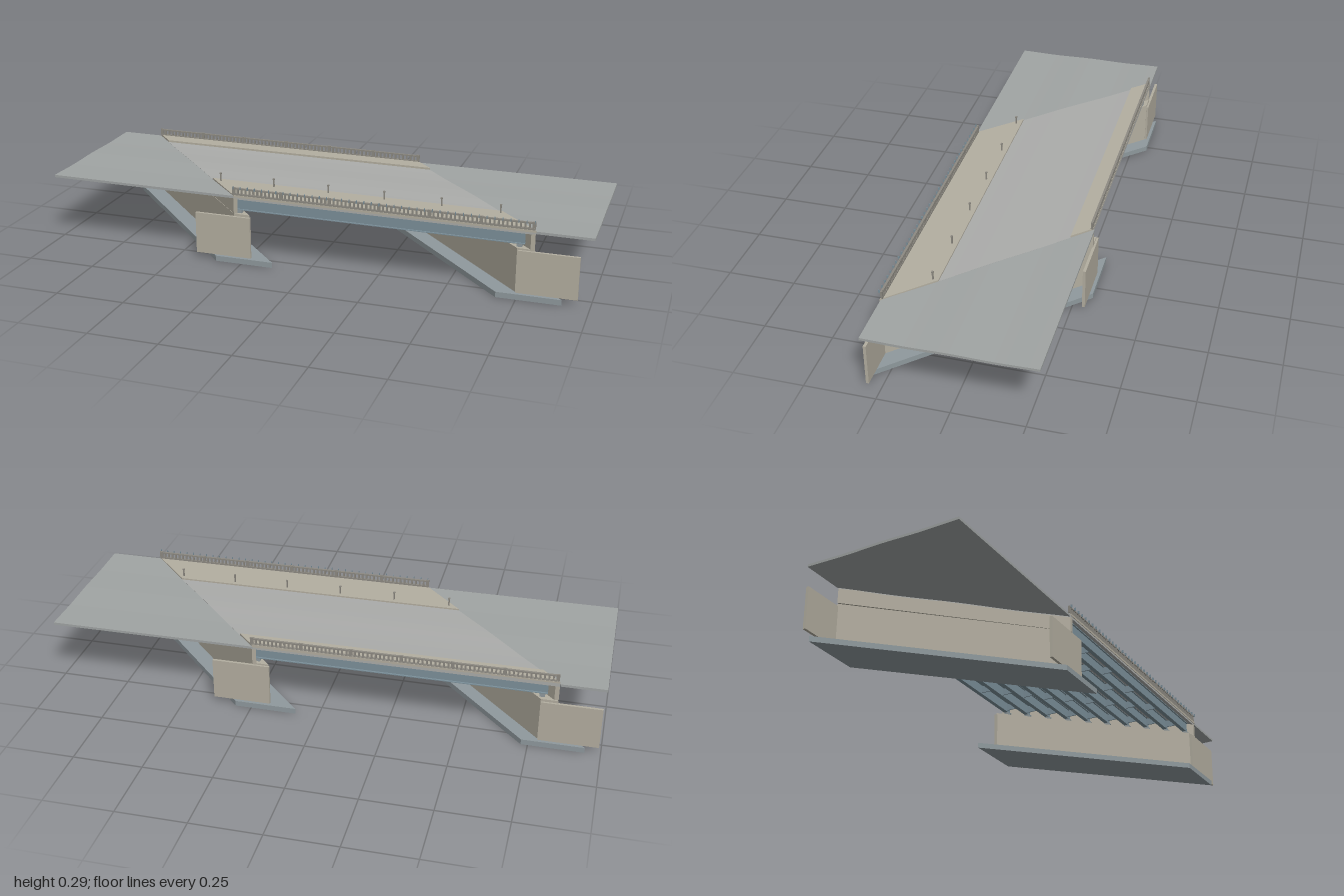
import * as THREE from 'three';
import { mergeGeometries } from 'three/addons/utils/BufferGeometryUtils.js';

const SKEW = 0.96;               // x shift per unit of z at the bridge ends
const LEFT = -0.56, RIGHT = 0.525; // bridge ends on the centre line
const mat = (color) => new THREE.MeshStandardMaterial({ color, flatShading: true, side: THREE.DoubleSide });
const concrete = mat(0xb3aea0), asphalt = mat(0xa0a4a3), deckGrey = mat(0xabacaa);
const steel = mat(0x7c909a), base = mat(0x8f999d), railGrey = mat(0x8d8a82);

// Long fall of the road and its shallow crossfall wave
const grade = (x) => -0.004 * x;
const wave = (z) => 0.0012 * Math.cos((z * Math.PI * 2) / 0.29);

// Box whose two x ends may be skewed; "road" makes it follow the road surface
function slab(x0, x1, y0, y1, z0, z1, { s0 = SKEW, s1 = SKEW, road = false, follow = false } = {}) {
  const g = new THREE.BoxGeometry(1, 1, 1, 1, 1, road ? 16 : 1);
  const p = g.attributes.position;
  for (let i = 0; i < p.count; i++) {
    const z = THREE.MathUtils.lerp(z0, z1, p.getZ(i) + 0.5);
    const x = THREE.MathUtils.lerp(x0 + s0 * z, x1 + s1 * z, p.getX(i) + 0.5);
    let y = THREE.MathUtils.lerp(y0, y1, p.getY(i) + 0.5);
    if (road || follow) y += grade(x);
    if (road) y += wave(z);
    p.setXYZ(i, x, y, z);
  }
  g.computeVertexNormals();
  return g;
}
const straight = { s0: 0, s1: 0, follow: true };
const upright = { s0: 0, s1: 0 };

export function createModel() {
  const model = new THREE.Group();
  const add = (name, material, ...geos) => {
    const mesh = new THREE.Mesh(geos.length > 1 ? mergeGeometries(geos) : geos[0], material);
    mesh.name = name;
    model.add(mesh);
  };

  // Road: two approaches and the skewed span between them
  const surf = { road: true };
  add('leftApproach', asphalt, slab(-1, LEFT, 0.239, 0.248, -0.295, 0.29, { ...surf, s0: 0 }));
  add('rightApproach', asphalt, slab(RIGHT, 1, 0.239, 0.248, -0.295, 0.29, { ...surf, s1: 0 }));
  add('bridgeDeck', deckGrey, slab(LEFT, RIGHT, 0.236, 0.2485, -0.292, 0.29, surf));

  // Raised walkway in front, narrow curb behind
  add('walkway', concrete, slab(LEFT, RIGHT, 0.245, 0.253, 0.14, 0.292, { follow: true }));
  add('curb', concrete, slab(LEFT, RIGHT, 0.245, 0.256, -0.292, -0.225, { follow: true }));

  // Parapet railings: sill, cap, balusters and thicker posts
  for (const [name, z] of [['frontRailing', 0.287], ['backRailing', -0.287]]) {
    const a = LEFT + SKEW * z, b = RIGHT + SKEW * z, parts = [];
    parts.push(slab(a, b, 0.253, 0.259, z - 0.004, z + 0.004, straight));
    parts.push(slab(a, b, 0.275, 0.28, z - 0.004, z + 0.004, straight));
    const n = 72;
    for (let i = 0; i <= n; i++) {
      const x = a + 0.004 + ((b - a - 0.008) * i) / n;
      const w = i % 12 === 0 ? 0.006 : 0.003;
      parts.push(slab(x - w, x + w, 0.256, i % 12 ? 0.277 : 0.282, z - 0.003, z + 0.003, straight));
    }
    add(name, railGrey, ...parts);
  }

  // Slim bars along the outside of the front railing
  const bars = [];
  for (let i = 0; i <= 40; i++) {
    const x = -0.28 + i * 0.027;
    bars.push(slab(x - 0.001, x + 0.001, 0.276, 0.287, 0.2905, 0.297, straight));
  }
  add('outerBars', steel, ...bars);

  // Short posts at the inner edge of the walkway
  const posts = [];
  for (let i = 0; i < 6; i++) {
    const x = -0.385 + i * 0.2086;
    posts.push(slab(x - 0.0025, x + 0.0025, 0.25, 0.281, 0.157, 0.162, straight));
    posts.push(slab(x - 0.0035, x + 0.0035, 0.279, 0.284, 0.156, 0.163, straight));
  }
  add('walkwayPosts', railGrey, ...posts);

  // I-section girders with bearings and staggered cross braces
  const girders = [], braces = [], bearings = [];
  const count = 10, pitch = 0.06;
  for (let i = 0; i < count; i++) {
    const z = (i - (count - 1) / 2) * pitch;
    const a = LEFT + 0.018 + SKEW * z, b = RIGHT - 0.018 + SKEW * z;
    girders.push(slab(a, b, 0.195, 0.236, z - 0.0015, z + 0.0015, straight));
    girders.push(slab(a, b, 0.193, 0.196, z - 0.008, z + 0.008, straight));
    girders.push(slab(a, b, 0.234, 0.237, z - 0.007, z + 0.007, straight));
    for (const x of [a + 0.018, b - 0.018])
      bearings.push(slab(x - 0.009, x + 0.009, 0.178, 0.194, z - 0.008, z + 0.008, straight));
    if (i === count - 1) continue;
    for (let k = 0; k < 6; k++) {
      const x = a + 0.05 + ((b - a - 0.1) * k) / 5 + SKEW * pitch * 0.5;
      braces.push(slab(x - 0.002, x + 0.002, 0.203, 0.23, z, z + pitch, straight));
    }
  }
  add('girders', steel, ...girders);
  add('crossBraces', steel, ...braces);
  add('bearings', base, ...bearings);

  // Abutments: footing, stem with bearing shelf, back wall and two wing walls
  const abutments = [
    { side: 'left', foot: [-0.647, -0.428], stem: [-0.56, -0.5], back: [-0.56, -0.545], shelf: 0.183, dir: -1 },
    { side: 'right', foot: [0.382, 0.607], stem: [0.465, 0.525], back: [0.51, 0.525], shelf: 0.18, dir: 1 },
  ];
  for (const { side, foot, stem, back, shelf, dir } of abutments) {
    add(side + 'Footing', base, slab(...foot, 0, 0.02, -0.311, 0.311));
    add(side + 'Stem', concrete, slab(...stem, 0.02, shelf, -0.292, 0.29));
    add(side + 'BackWall', concrete, slab(...back, shelf, 0.241, -0.292, 0.29, { follow: true }));
    const wings = [0.2935, -0.2945].map((z) => {
      const root = (dir < 0 ? stem[1] : stem[0]) + SKEW * z;
      const tip = root + dir * 0.21;
      return slab(Math.min(root, tip), Math.max(root, tip), 0.02, 0.174, z - 0.005, z + 0.005, upright);
    });
    add(side + 'WingWalls', concrete, ...wings);
  }
  return model;
}
